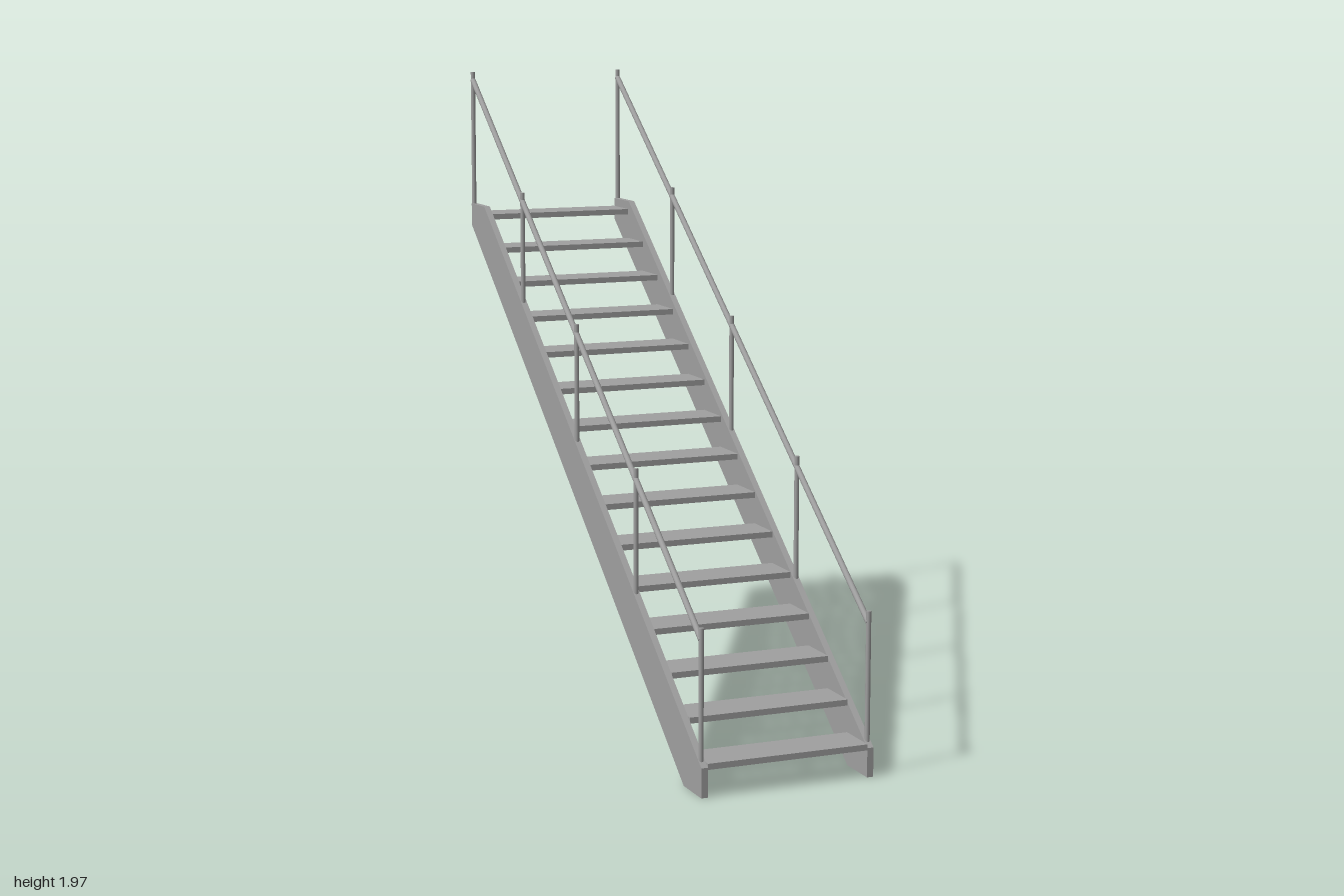
import * as THREE from 'three';

export function createModel() {
  const group = new THREE.Group();
  group.name = 'staircase';
  const steel = new THREE.MeshStandardMaterial({ color: 0xa0a0a0 });
  steel.name = 'grey steel';

  const add = (geometry, name) => {
    const mesh = new THREE.Mesh(geometry, steel);
    mesh.name = name;
    group.add(mesh);
    return mesh;
  };

  // Round bar between two points
  const bar = (a, b, radius, name) => {
    const dir = b.clone().sub(a);
    const mesh = add(new THREE.CylinderGeometry(radius, radius, dir.length(), 12), name);
    mesh.position.copy(a).add(b).multiplyScalar(0.5);
    mesh.quaternion.setFromUnitVectors(new THREE.Vector3(0, 1, 0), dir.normalize());
  };

  // Treads
  const count = 15, run = 0.1332, rise = 0.0995, depth = 0.135, thick = 0.018;
  for (let i = 0; i < count; i++) {
    const tread = add(new THREE.BoxGeometry(0.504, thick, depth), 'tread' + (i + 1));
    tread.position.set(0, 0.1 + i * rise - thick / 2, 1 - depth / 2 - i * run);
  }

  // Stringer outline, drawn as (-z, y) and extruded across x
  const outline = new THREE.Shape(
    [[-0.998, 0], [-0.87, 0], [0.992, 1.447], [0.992, 1.52], [0.86, 1.52], [-0.998, 0.088]]
      .map(([u, v]) => new THREE.Vector2(u, v)));
  const stringerGeometry = new THREE.ExtrudeGeometry(outline, { depth: 0.02, bevelEnabled: false });
  stringerGeometry.translate(0, 0, -0.01).rotateY(Math.PI / 2);

  // Posts as [z, foot y, top y]
  const posts = [
    [0.974, 0.09, 0.49], [0.482, 0.47, 0.86], [-0.009, 0.85, 1.228],
    [-0.5, 1.23, 1.596], [-0.991, 1.505, 1.965],
  ];

  for (const side of [1, -1]) {
    const label = side > 0 ? 'left' : 'right';
    const x = side * 0.263;
    add(stringerGeometry, label + 'Stringer').position.x = side * 0.262;
    posts.forEach(([z, foot, top], i) => bar(
      new THREE.Vector3(x, foot, z), new THREE.Vector3(x, top, z), 0.0075, label + 'Post' + (i + 1)));
    // Sloping handrail
    bar(new THREE.Vector3(x, 0.456, 0.974), new THREE.Vector3(x, 1.938, -0.991), 0.009, label + 'Handrail');
  }
  return group;
}
